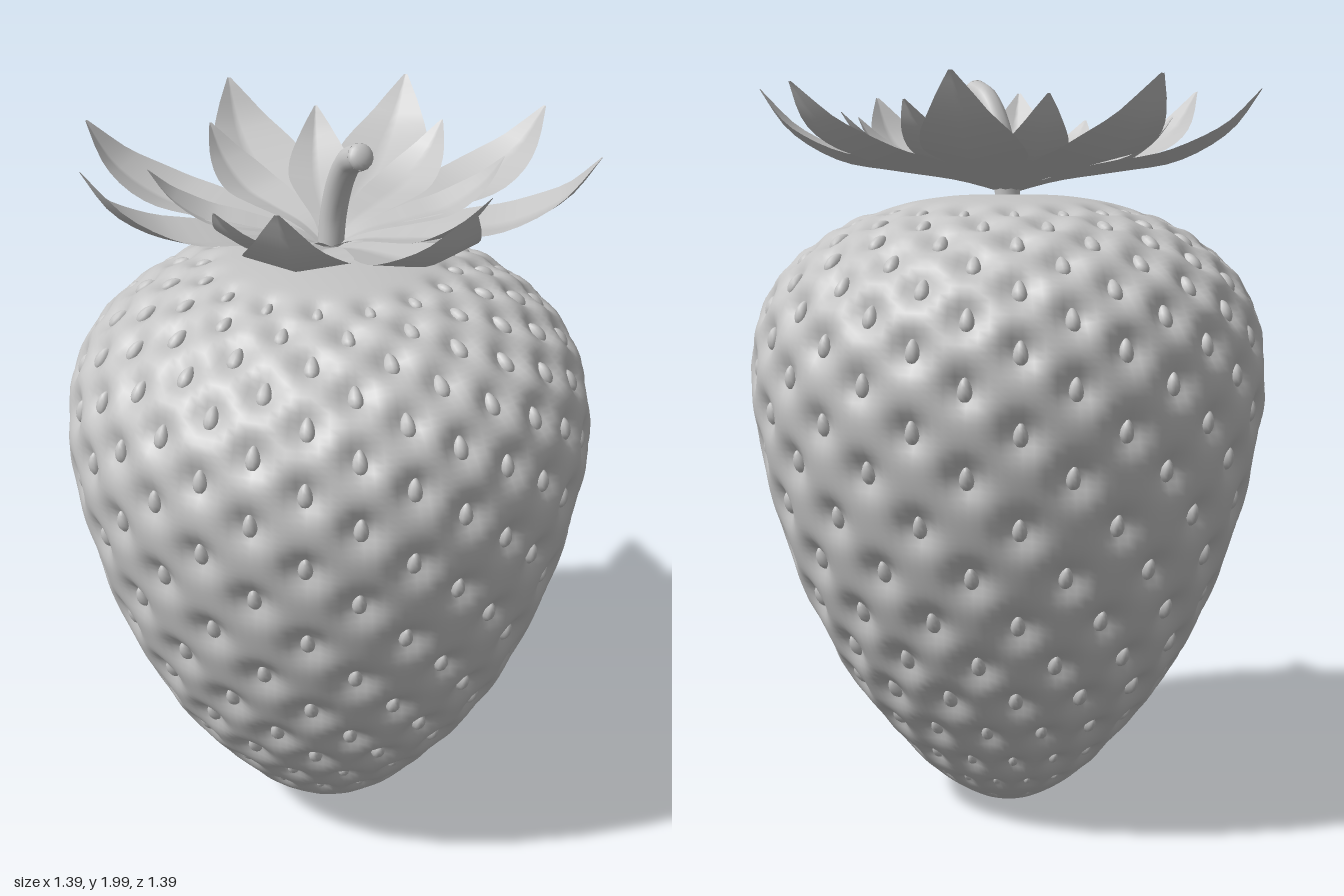
import * as THREE from 'three';
import { ParametricGeometry } from 'three/addons/geometries/ParametricGeometry.js';
import { mergeGeometries } from 'three/addons/utils/BufferGeometryUtils.js';

const PER_ROW = 16;

// Radius / height outline of the fruit, tip to crown
const profile = new THREE.SplineCurve([
  [0.002, 0.005], [0.09, 0.022], [0.21, 0.1], [0.315, 0.21], [0.46, 0.4], [0.558, 0.6], [0.628, 0.8],
  [0.675, 1.0], [0.698, 1.17], [0.692, 1.3], [0.662, 1.41], [0.595, 1.51], [0.47, 1.605],
  [0.33, 1.655], [0.16, 1.685], [0.002, 1.69],
].map(([r, y]) => new THREE.Vector2(r, y)));
profile.arcLengthDivisions = 600;

const ROWS = [0.045, 0.11, 0.19, 0.29, 0.4, 0.51, 0.63, 0.76, 0.89, 1.02, 1.13, 1.24,
  1.33, 1.41, 1.48, 1.54, 1.59, 1.63, 1.655];

function paramAtHeight(y) {
  let lo = 0, hi = 1;
  for (let i = 0; i < 30; i++) {
    const mid = (lo + hi) / 2;
    if (profile.getPointAt(mid).y < y) lo = mid; else hi = mid;
  }
  return lo;
}

// Staggered rings of seed positions, each with its outward direction and size
function seedSpots() {
  const spots = [];
  ROWS.forEach((y, row) => {
    const t = paramAtHeight(y);
    const p = profile.getPointAt(t), tan = profile.getTangentAt(t);
    const size = Math.min(1, (2 * Math.PI * p.x) / PER_ROW / 0.18);
    const step = row === 0 ? 2 : 1;
    for (let i = 0; i < PER_ROW; i += step) {
      const a = ((i + (row % 2) / 2) / PER_ROW) * Math.PI * 2 + 0.15;
      const s = Math.sin(a), c = Math.cos(a);
      spots.push({
        pos: new THREE.Vector3(p.x * s, p.y, p.x * c),
        out: new THREE.Vector3(tan.y * s, -tan.x, tan.y * c),
        up: new THREE.Vector3(tan.x * s, tan.y, tan.x * c),
        size,
      });
    }
  });
  return spots;
}

// Fruit surface pushed inward around each seed
function fruitGeometry(spots) {
  const surface = (u, v, target) => {
    const p = profile.getPointAt(v), tan = profile.getTangentAt(v);
    const a = u * Math.PI * 2, s = Math.sin(a), c = Math.cos(a);
    target.set(p.x * s, p.y, p.x * c);
    let dent = 0;
    for (const spot of spots) {
      const d2 = target.distanceToSquared(spot.pos);
      if (d2 < 0.04) dent += 0.033 * spot.size * Math.exp(-d2 / (0.0026 * spot.size * spot.size));
    }
    target.x -= dent * tan.y * s;
    target.y += dent * tan.x;
    target.z -= dent * tan.y * c;
  };
  return new ParametricGeometry(surface, 160, 130);
}

// Small teardrop seeds sitting in the dents
function seedsGeometry(spots) {
  const base = new THREE.SphereGeometry(1, 10, 7);
  const pos = base.attributes.position;
  for (let i = 0; i < pos.count; i++) {
    pos.setX(i, pos.getX(i) * (1 - 0.3 * pos.getY(i)));
  }
  base.computeVertexNormals();
  return mergeGeometries(spots.map(({ pos: at, out, up, size }) => {
    const side = new THREE.Vector3().crossVectors(up, out);
    const m = new THREE.Matrix4().makeBasis(side, up, out);
    m.scale(new THREE.Vector3(0.018, 0.031, 0.018).multiplyScalar(size));
    m.setPosition(at.clone().addScaledVector(out, -0.027 * size));
    return base.clone().applyMatrix4(m);
  }));
}

// Leaf: outline widths swept along a curve that flips up at the tip
function leafGeometry(tipX, tipZ, tipY, width, lift) {
  const length = Math.hypot(tipX, tipZ);
  const rise = tipY - 1.69;
  const spine = new THREE.SplineCurve([
    [0, 0], [0.2, 0.13 + lift], [0.45, 0.22 + lift], [0.68, 0.32 + lift], [0.88, 0.6 + lift], [1, 1],
  ].map(([r, h]) => new THREE.Vector2(r * length, 1.69 + h * rise)));
  const outline = new THREE.SplineCurve([
    [0, 0.18], [0.2, 0.36], [0.4, 0.72], [0.6, 0.99], [0.75, 0.95], [0.9, 0.55], [1, 0.04],
  ].map(([t, w]) => new THREE.Vector2(t, w)));
  const angle = Math.atan2(tipX, tipZ);
  const dir = new THREE.Vector3(Math.sin(angle), 0, Math.cos(angle));
  const side = new THREE.Vector3(dir.z, 0, -dir.x);
  return new ParametricGeometry((u, v, target) => {
    const p = spine.getPoint(v), tan = spine.getTangent(v);
    const k = u * 2 - 1;
    const half = outline.getPoint(v).y * width / 2;
    const fold = Math.abs(k) * half * 0.22;
    target.copy(dir).multiplyScalar(p.x - fold * tan.y);
    target.addScaledVector(side, k * half);
    target.y = p.y + fold * tan.x;
  }, 8, 18);
}

const OUTER_TIPS = [[-0.18, -0.66, 1.97], [0.32, -0.62, 1.97], [0.63, -0.27, 1.96], [0.63, 0.24, 1.97],
  [0.23, 0.6, 1.97], [-0.21, 0.6, 1.99], [-0.62, 0.19, 1.98], [-0.59, -0.32, 1.96]];
const INNER_TIPS = [[0.04, -0.48, 1.93], [0.36, -0.32, 1.92], [0.46, -0.03, 1.9], [0.35, 0.29, 1.9],
  [-0.32, 0.3, 1.9], [-0.45, -0.06, 1.9], [-0.26, -0.39, 1.92]];

export function createModel() {
  const model = new THREE.Group();
  model.name = 'strawberry';
  const grey = new THREE.MeshStandardMaterial({ color: 0xc4c4c4, side: THREE.DoubleSide });
  grey.name = 'plain grey';

  const add = (name, geometry, parent = model) => {
    const mesh = new THREE.Mesh(geometry, grey);
    mesh.name = name;
    parent.add(mesh);
    return mesh;
  };

  const spots = seedSpots();
  add('fruit', fruitGeometry(spots));
  add('seeds', seedsGeometry(spots));

  // Leafy crown
  const crown = new THREE.Group();
  crown.name = 'crown';
  model.add(crown);
  OUTER_TIPS.forEach(([x, z, y]) => add('outerLeaf', leafGeometry(x, z, y, 0.25, 0), crown));
  INNER_TIPS.forEach(([x, z, y]) => add('innerLeaf', leafGeometry(x, z, y, 0.17, 0.06), crown));

  // Curved stem with a rounded end
  const path = new THREE.CatmullRomCurve3([
    [0.005, 1.68, -0.01], [0.012, 1.78, -0.005], [0.025, 1.88, 0.03], [0.04, 1.94, 0.075], [0.056, 1.966, 0.13],
  ].map((p) => new THREE.Vector3(...p)));
  add('stem', new THREE.TubeGeometry(path, 24, 0.034, 14));
  const tip = add('stemTip', new THREE.SphereGeometry(0.034, 14, 6, 0, Math.PI * 2, 0, Math.PI / 2));
  tip.position.copy(path.getPoint(1));
  tip.quaternion.setFromUnitVectors(new THREE.Vector3(0, 1, 0), path.getTangent(1));
  tip.scale.y = 0.6;

  return model;
}
